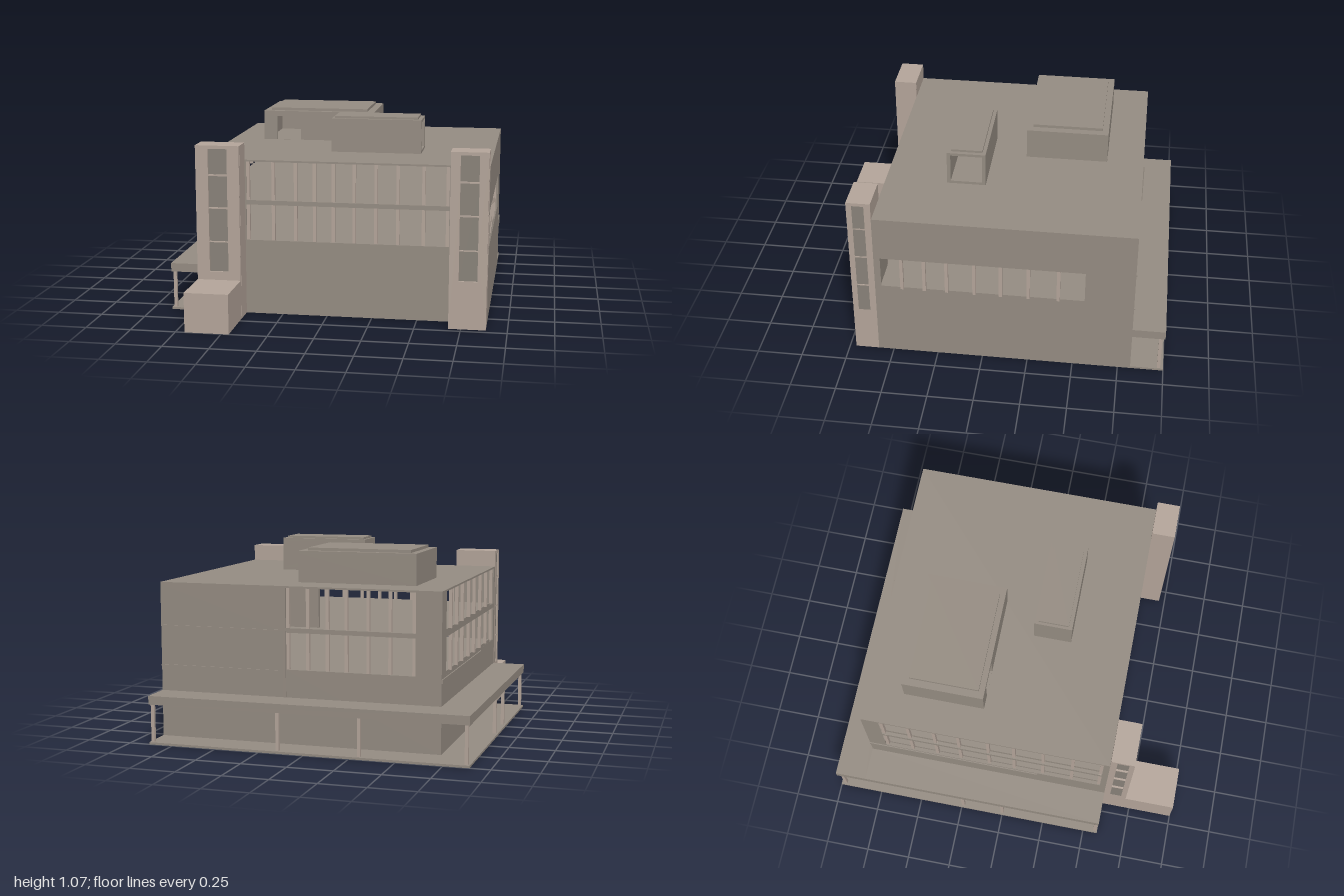
import * as THREE from 'three';

const mat = (color) => new THREE.MeshStandardMaterial({ color, flatShading: true });

export function createModel() {
  const model = new THREE.Group();
  const wallMat = mat(0x968d83), paleMat = mat(0xb5a69b), paneMat = mat(0x8a837a), olive = mat(0xa3a190);

  // Box from its limits on each axis
  function box(name, x0, x1, y0, y1, z0, z1, m = wallMat, parent = model) {
    const mesh = new THREE.Mesh(new THREE.BoxGeometry(x1 - x0, y1 - y0, z1 - z0), m);
    mesh.position.set((x0 + x1) / 2, (y0 + y1) / 2, (z0 + z1) / 2);
    mesh.name = name;
    parent.add(mesh);
    return mesh;
  }

  // Upright plate with rectangular holes [a0, a1, y0, y1]; axis 'x' lies across the front, 'z' along a side
  function plate(name, axis, a0, a1, y0, y1, holes, at, t, m = wallMat, parent = model) {
    const s = axis === 'z' ? -1 : 1;
    const rect = (Kind, l, r, b, u) => {
      const p = new Kind();
      p.moveTo(l * s, b).lineTo(r * s, b).lineTo(r * s, u).lineTo(l * s, u).closePath();
      return p;
    };
    const shape = rect(THREE.Shape, a0, a1, y0, y1);
    holes.forEach((h) => shape.holes.push(rect(THREE.Path, ...h)));
    const mesh = new THREE.Mesh(new THREE.ExtrudeGeometry(shape, { depth: t, bevelEnabled: false }), m);
    if (axis === 'z') { mesh.rotation.y = Math.PI / 2; mesh.position.x = at; } else mesh.position.z = at;
    mesh.name = name;
    parent.add(mesh);
  }

  const L = -0.7, R = 0.885, B = -0.82, F = 0.585, T = 0.025;
  const rows = [[0.42, 0.62], [0.645, 0.86]];
  const holesFor = (a, b) => rows.map(([y0, y1]) => [a, b, y0, y1]);

  // Ground slab, floors and roof
  box('groundSlab', -0.89, R, 0, 0.012, -1, F);
  box('lowerFloor', L + T, R - T, 0.4, 0.42, B + T, F - T);
  box('upperFloor', L + T, R - T, 0.62, 0.645, B + T, F - T);
  box('roof', L, R, 0.86, 0.87, B, F);

  // Outer walls with window openings
  plate('frontWall', 'x', L, R, 0.01, 0.86, holesFor(-0.45, 0.67), F - T, T);
  plate('backWall', 'x', L, R, 0.01, 0.86, holesFor(-0.56, 0.156), B, T);
  plate('rightWall', 'z', B + T, F - T, 0.01, 0.86, [[-0.555, 0.55, 0.42, 0.62]], R - T, T);
  plate('leftWall', 'z', B + T, F - T, 0.01, 0.86,
    [...holesFor(-0.72, 0.55), [-0.1, 0.45, 0.015, 0.2]], L, T);
  box('partition', -0.01, 0.16, 0.645, 0.86, B + 0.06, B + 0.08);

  // Raised bands along the solid part of the back and left walls
  for (const y of [0.41, 0.63]) box('backBand', 0.16, R, y - 0.004, y + 0.004, B - 0.006, B);
  box('leftBand', L - 0.006, L, 0.39, 0.41, B, 0.18);
  box('backPilaster', 0.156, 0.17, 0.27, 0.86, B - 0.006, B);

  // Window mullions
  const M = 0.009;
  rows.forEach(([y0, y1], i) => {
    for (const x of [-0.441, -0.3, -0.175, -0.07, 0.035, 0.15, 0.27, 0.39, 0.53, 0.661])
      box('frontMullion', x - M, x + M, y0, y1, F - 0.024, F - 0.006, paleMat);
    for (const x of [-0.55, -0.42, -0.3, -0.18, -0.075, 0.035, 0.147])
      box('backMullion', x - M, x + M, y0, y1, B + 0.006, B + 0.024, paleMat);
    for (const z of [-0.71, -0.56, -0.412, -0.273, -0.105, 0.043, 0.21, 0.379, 0.54])
      box('leftMullion', L + 0.006, L + 0.024, y0, y1, z - M, z + M, paleMat);
    if (i === 0) for (const z of [-0.412, -0.25, -0.1, 0.043, 0.193, 0.315, 0.438])
      box('rightMullion', R - 0.024, R - 0.006, y0, y1, z - M, z + M, paleMat);
  });

  // L-shaped canopy on slim posts
  box('backCanopy', -0.89, R, 0.22, 0.268, -1, B);
  box('leftCanopy', -0.89, L, 0.22, 0.268, B, F);
  for (const x of [-0.87, -0.3, 0.15, 0.87])
    box('canopyPost', x - 0.009, x + 0.009, 0.012, 0.22, -0.984, -0.966, paleMat);
  for (const z of [-0.24, 0, 0.57])
    box('canopyPost', -0.879, -0.861, 0.012, 0.22, z - 0.009, z + 0.009, paleMat);

  // Corner towers: recessed panes in the front and the outer side
  function tower(name, x0, x1, p0, p1, outer) {
    const g = new THREE.Group();
    g.name = name;
    const z1 = 0.715, d = 0.012, top = 0.965;
    const levels = [[0.265, 0.43], [0.435, 0.617], [0.624, 0.798], [0.806, 0.947]];
    const c0 = outer < 0 ? x0 + d : x0, c1 = outer < 0 ? x1 : x1 - d;
    box('towerPanes', c0, c1, 0, top - 0.01, F, z1 - d, paneMat, g);
    box('towerCap', c0, c1, top - 0.01, top, F, z1 - d, paleMat, g);
    // Plain inner side and rear above the roof
    const inner = outer < 0 ? x1 : x0;
    box('innerSide', inner - 0.001, inner + 0.001, 0, top, F, z1 - d, paleMat, g);
    box('rearSide', x0, x1, 0, top, F - 0.001, F + 0.001, paleMat, g);
    plate('towerFront', 'x', x0, x1, 0, top, levels.map((l) => [p0, p1, ...l]), z1 - d, d, paleMat, g);
    plate('towerSide', 'z', F, z1 - d, 0, top, levels.map((l) => [0.62, 0.685, ...l]),
      outer < 0 ? x0 : x1 - d, d, paleMat, g);
    model.add(g);
  }
  tower('rightTower', L, -0.458, -0.63, -0.525, -1);
  tower('leftTower', 0.683, R, 0.735, 0.835, 1);
  box('lowBlock', L, -0.458, 0, 0.218, 0.715, 1, paleMat);

  // Roof house with a doorway in front
  plate('roofHouseFront', 'x', -0.51, 0.155, 0.87, 1.03, [[-0.43, -0.285, 0.871, 1.01]], -0.18, 0.02);
  plate('roofHouseBack', 'x', -0.51, 0.155, 0.87, 1.03, [], -0.615, 0.02);
  box('roofHouseSide', -0.51, -0.49, 0.87, 1.03, -0.595, -0.18);
  box('roofHouseSide', 0.135, 0.155, 0.87, 1.03, -0.595, -0.18);
  box('roofHouseTop', -0.51, 0.155, 1.03, 1.042, -0.615, -0.16);
  box('roofHouseCap', -0.47, 0.112, 1.042, 1.058, -0.58, -0.192);

  // Small roof box, open at its left end
  box('ventTop', -0.03, 0.48, 1.045, 1.06, 0.03, 0.243);
  box('ventBottom', -0.03, 0.48, 0.87, 0.885, 0.03, 0.243);
  box('ventWall', -0.03, 0.48, 0.885, 1.045, 0.03, 0.05);
  box('ventWall', -0.03, 0.48, 0.885, 1.045, 0.223, 0.243);
  box('ventEnd', -0.03, -0.015, 0.885, 1.045, 0.05, 0.223);
  box('ventLining', -0.015, -0.01, 0.885, 1.045, 0.05, 0.223, olive);
  box('ventCap', -0.015, 0.458, 1.06, 1.072, 0.05, 0.222);

  return model;
}
